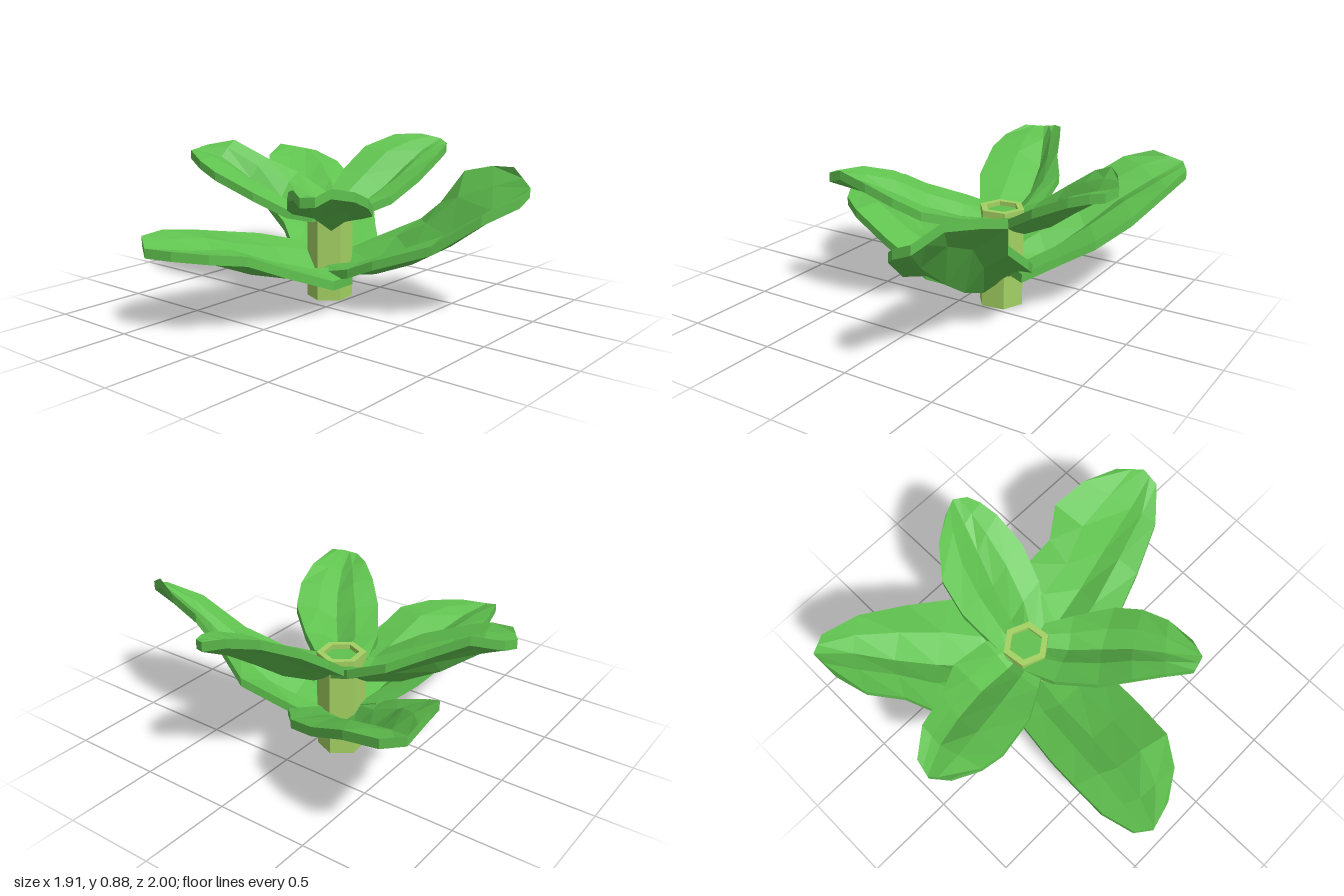
import * as THREE from 'three';

const THICKNESS = 0.05;

// Each leaf is a run of cross-sections from base to tip: left edge, midrib, right edge (x, y, z).
const LEAVES = {
  upperLeafBack: [
    [[.05, .50, -.14], [.18, .47, -.12], [.31, .50, -.14]],
    [[-.03, .52, -.26], [.18, .47, -.28], [.35, .56, -.28]],
    [[-.13, .61, -.42], [.17, .53, -.48], [.34, .66, -.50]],
    [[-.19, .71, -.66], [.12, .63, -.68], [.24, .74, -.66]],
    [[-.18, .76, -.79], [.05, .75, -.85], [.16, .84, -.85]],
    [[-.12, .80, -.93], [-.03, .79, -1.0], [.06, .81, -.98]],
  ],
  upperLeafLeft: [
    [[.20, .50, -.25], [.20, .47, -.13], [.18, .50, 0]],
    [[.35, .57, -.26], [.36, .49, -.08], [.38, .59, .16]],
    [[.50, .68, -.28], [.54, .58, -.03], [.56, .70, .22]],
    [[.67, .80, -.25], [.70, .70, .02], [.75, .79, .22]],
    [[.81, .87, -.13], [.83, .79, .06], [.85, .82, .20]],
    [[.90, .875, 0], [.955, .85, .10], [.92, .83, .17]],
  ],
  upperLeafFrontRight: [
    [[.21, .52, .03], [.18, .47, -.10], [.11, .51, -.24]],
    [[.12, .55, .16], [.02, .48, .02], [-.07, .56, -.18]],
    [[-.02, .61, .33], [-.12, .54, .13], [-.26, .63, -.05]],
    [[-.15, .68, .40], [-.25, .62, .22], [-.38, .71, .07]],
    [[-.30, .74, .43], [-.40, .69, .30], [-.49, .75, .20]],
    [[-.47, .78, .42], [-.56, .75, .40], [-.58, .74, .32]],
  ],
  lowerLeafBackLeft: [
    [[.08, .26, -.30], [.20, .17, -.12], [.42, .27, .05]],
    [[.18, .38, -.47], [.36, .25, -.33], [.58, .36, -.10]],
    [[.26, .50, -.71], [.50, .38, -.52], [.71, .43, -.21]],
    [[.41, .60, -.79], [.63, .52, -.68], [.82, .52, -.42]],
    [[.54, .70, -.92], [.77, .63, -.82], [.91, .64, -.66]],
    [[.70, .75, -.97], [.88, .71, -.97], [.94, .69, -.87]],
  ],
  lowerLeafFront: [
    [[.44, .30, -.03], [.20, .17, -.12], [.01, .19, -.05]],
    [[.56, .44, .24], [.25, .21, .15], [-.03, .25, .17]],
    [[.53, .56, .39], [.28, .30, .38], [-.02, .32, .33]],
    [[.59, .74, .50], [.31, .43, .60], [.08, .43, .63]],
    [[.56, .79, .69], [.33, .60, .83], [.17, .60, .86]],
    [[.48, .81, .86], [.40, .73, 1.0], [.30, .69, 1.0]],
  ],
  lowerLeafRight: [
    [[.12, .17, .09], [.18, .16, -.12], [.16, .30, -.33]],
    [[-.12, .20, .15], [-.10, .20, -.17], [-.08, .37, -.43]],
    [[-.42, .32, .11], [-.38, .28, -.20], [-.33, .42, -.47]],
    [[-.67, .43, .06], [-.60, .37, -.24], [-.52, .46, -.485]],
    [[-.82, .45, -.05], [-.80, .42, -.29], [-.72, .495, -.495]],
    [[-.92, .46, -.21], [-.96, .46, -.36], [-.90, .50, -.45]],
  ],
};

// Point on the leaf blade between edge and midrib, swelling upward in proportion to the blade's width.
function bladePoint(edge, rib, swell) {
  const a = new THREE.Vector3(...edge), b = new THREE.Vector3(...rib);
  const p = a.clone().lerp(b, 0.55);
  p.y += swell * a.distanceTo(b);
  return p.toArray();
}

// Closed leaf: a ring of five top points and five points below them per cross-section.
function leafGeometry(sections) {
  const positions = [], index = [], N = 10;
  sections.forEach(([l, m, r], i) => {
    // The groove along the midrib fades out at the tip
    const swell = 0.12 * Math.min(1, (sections.length - 1 - i) / 2);
    const top = [l, bladePoint(l, m, swell), m, bladePoint(r, m, swell), r];
    const bottom = top.map(([x, y, z]) => [x, y - THICKNESS, z]).reverse();
    positions.push(...top.flat(), ...bottom.flat());
  });
  const quad = (a, b, c, d) => index.push(a, b, c, a, c, d);
  const last = (sections.length - 1) * N;
  for (let i = 0; i < last; i += N) {
    for (let j = 0; j < N; j++) {
      const k = (j + 1) % N;
      quad(i + j, i + k, i + N + k, i + N + j);
    }
  }
  // End faces at base and tip
  for (let j = 0; j < 4; j++) {
    quad(last + j, last + j + 1, last + 8 - j, last + 9 - j);
    quad(9 - j, 8 - j, j + 1, j);
  }
  const geometry = new THREE.BufferGeometry();
  geometry.setAttribute('position', new THREE.Float32BufferAttribute(positions, 3));
  geometry.setIndex(index);
  geometry.computeVertexNormals();
  return geometry;
}

export function createModel() {
  const leafGreen = new THREE.MeshStandardMaterial({ color: 0x60c24f, flatShading: true });
  leafGreen.name = 'leaf green';
  const stemGreen = new THREE.MeshStandardMaterial({ color: 0xa3d162, flatShading: true });
  stemGreen.name = 'stem green';

  const model = new THREE.Group();
  model.name = 'plant';
  const add = (name, geometry, material) => {
    const mesh = new THREE.Mesh(geometry, material);
    mesh.name = name;
    model.add(mesh);
    return mesh;
  };

  for (const [name, sections] of Object.entries(LEAVES)) {
    add(name, leafGeometry(sections), leafGreen);
  }

  // Six-sided stem with a raised rim
  const profile = [[0, 0], [.128, 0], [.128, .55], [.092, .55], [.092, .52]];
  const stem = add('stem', new THREE.LatheGeometry(profile.map(p => new THREE.Vector2(...p)), 6), stemGreen);
  stem.position.set(.19, 0, -.13);
  stem.rotation.y = 0.65;

  // Green core inside the rim
  const core = add('stemCore', new THREE.CylinderGeometry(.094, .094, .02, 6), leafGreen);
  core.position.set(.19, .515, -.13);
  core.rotation.y = 0.65;

  return model;
}
